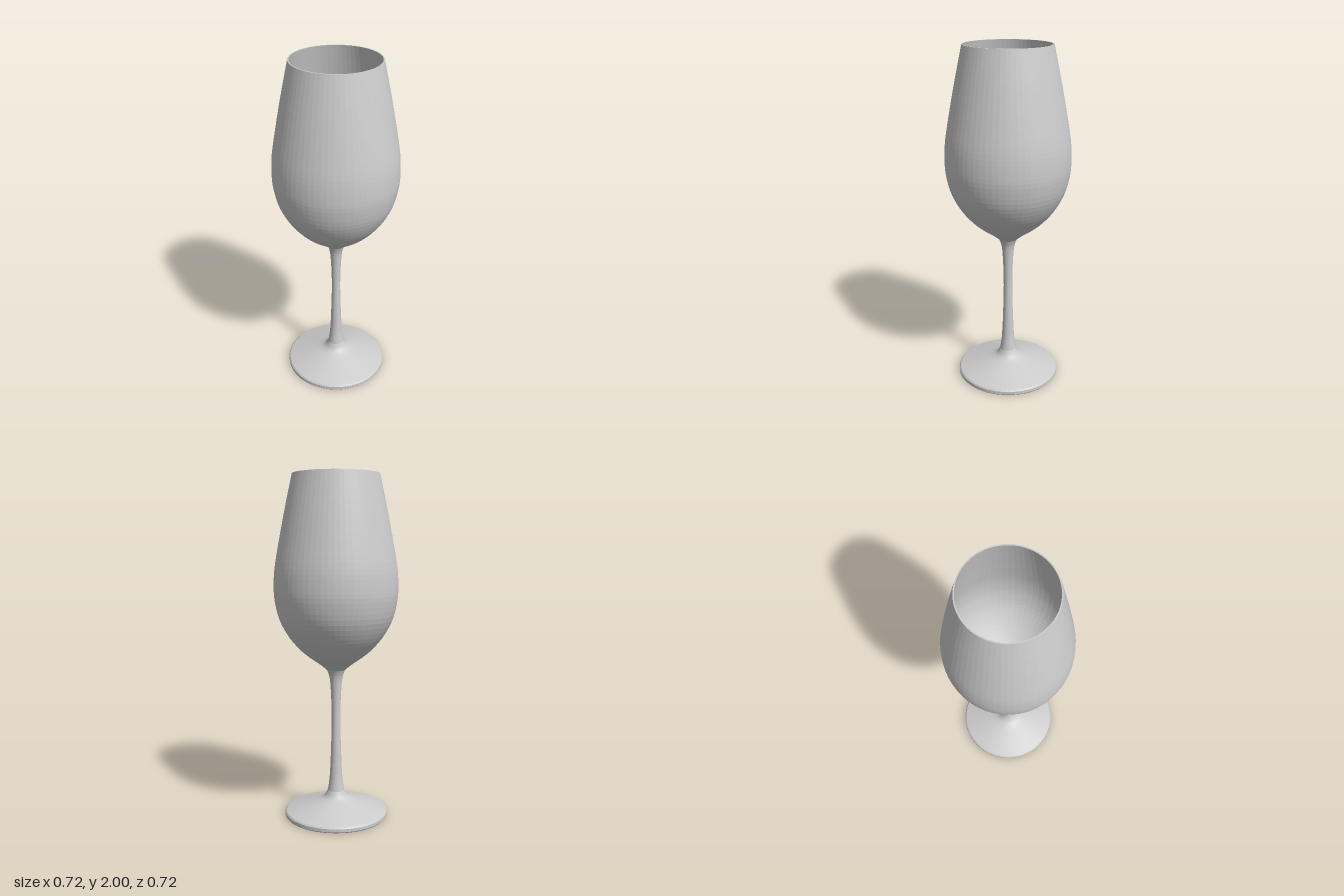
import * as THREE from 'three';

const SEGMENTS = 64;
const glass = new THREE.MeshStandardMaterial({ color: 0xcccccc, flatShading: true });
glass.name = 'pale grey glass';

const toPoints = (pairs) => pairs.map(([r, y]) => new THREE.Vector2(r, y));
const smooth = (pairs, n) => new THREE.SplineCurve(toPoints(pairs)).getPoints(n);

function turned(name, points) {
  const mesh = new THREE.Mesh(new THREE.LatheGeometry(points, SEGMENTS), glass);
  mesh.name = name;
  return mesh;
}

export function createModel() {
  const group = new THREE.Group();
  group.name = 'wineGlass';

  // Foot: flat underside, thin rim, shallow cone sweeping up to the stem
  group.add(turned('foot', [
    ...toPoints([[0, 0], [0.3, 0], [0.305, 0.006], [0.305, 0.024], [0.298, 0.032]]),
    ...smooth([[0.29, 0.035], [0.19, 0.067], [0.1, 0.097], [0.067, 0.118], [0.049, 0.15]], 14),
  ]));

  // Stem: slender, flaring at both ends
  group.add(turned('stem', smooth([
    [0.049, 0.15], [0.038, 0.23], [0.031, 0.37], [0.026, 0.55],
    [0.027, 0.67], [0.032, 0.78], [0.039, 0.84], [0.053, 0.88],
  ], 24)));

  // Bowl: outer wall up to the rim, then the inner wall down to a flat floor
  const outer = smooth([
    [0.053, 0.88], [0.094, 0.914], [0.15, 0.953], [0.21, 1.003], [0.275, 1.08],
    [0.328, 1.18], [0.354, 1.29], [0.358, 1.38], [0.351, 1.48],
    [0.327, 1.62], [0.292, 1.8], [0.249, 2],
  ], 40);
  const inner = smooth([
    [0.242, 2], [0.285, 1.8], [0.32, 1.62], [0.344, 1.48], [0.351, 1.38],
    [0.346, 1.29], [0.32, 1.185], [0.268, 1.09], [0.203, 1.013],
    [0.145, 0.966], [0.09, 0.935],
  ], 36);
  group.add(turned('bowl', [...outer, ...inner, new THREE.Vector2(0, 0.93)]));

  return group;
}
